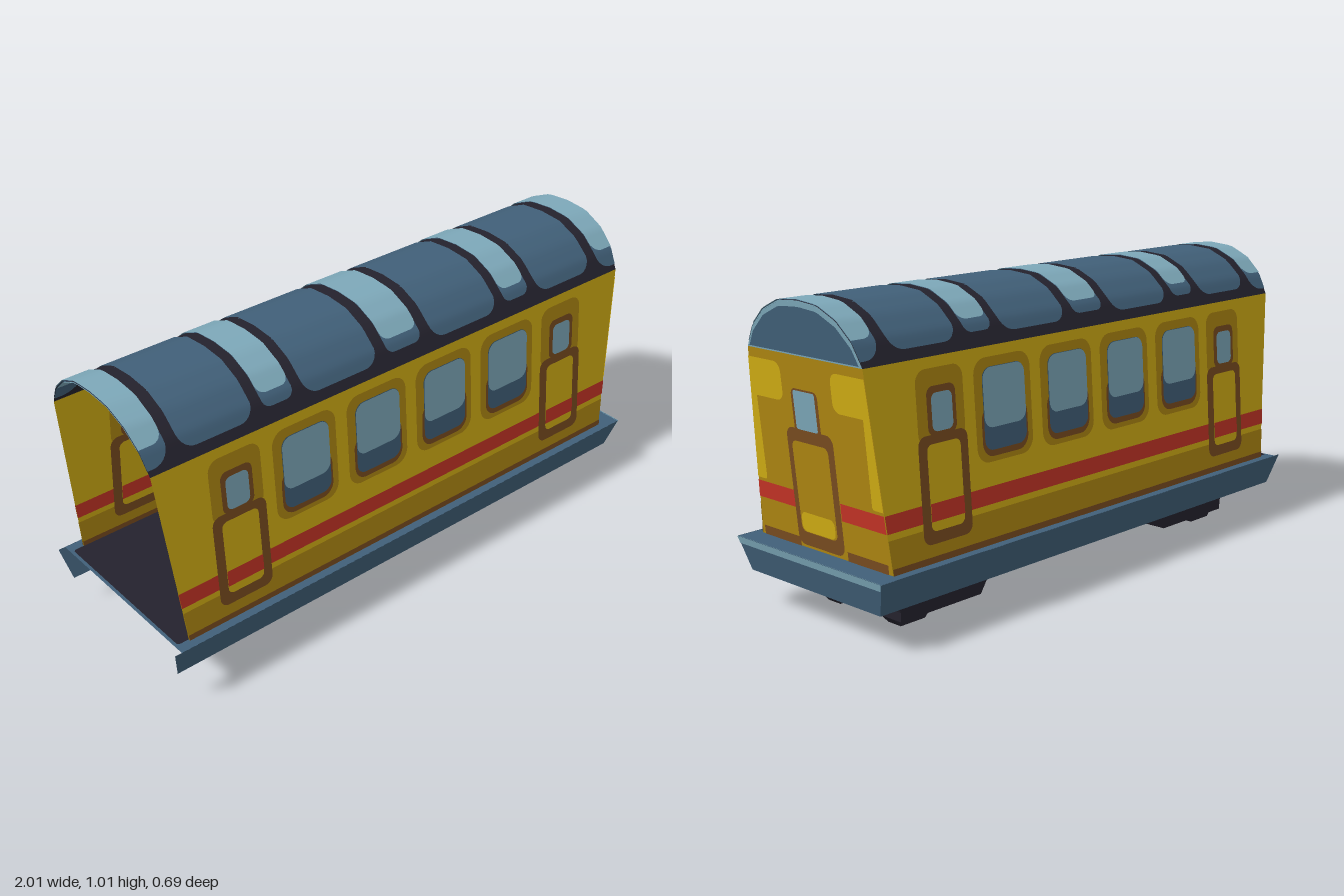
import * as THREE from 'three';
import { mergeGeometries } from 'three/addons/utils/BufferGeometryUtils.js';

const material = (name, color) => {
  const m = new THREE.MeshStandardMaterial({ color, side: THREE.DoubleSide });
  m.name = name;
  return m;
};

// Half outline of the carriage cross-section: [half width, height]
const PROFILE = [[0.305, 0.23], [0.263, 0.84], [0.225, 0.91], [0.165, 0.965], [0.087, 1.0], [0, 1.007]];
const clamp = THREE.MathUtils.clamp;
const halfWidth = (y) => {
  for (let i = 1; i < PROFILE.length; i++) {
    const [w0, y0] = PROFILE[i - 1], [w1, y1] = PROFILE[i];
    if (y <= y1) return w0 + (w1 - w0) * (y - y0) / (y1 - y0);
  }
  return 0;
};
// The ends lean outwards towards the roof
const endX = (y) => 0.925 + 0.075 * (y - 0.23) / 0.775;

// Roof arch, v = signed arc length from the crown
const ARCH = PROFILE.slice(1).reverse();
const archPoint = (s) => {
  for (let i = 1; i < ARCH.length; i++) {
    const [w0, y0] = ARCH[i - 1], [w1, y1] = ARCH[i];
    const len = Math.hypot(w1 - w0, y1 - y0);
    if (s <= len || i === ARCH.length - 1) {
      const t = Math.min(s / len, 1);
      return [w0 + (w1 - w0) * t, y0 + (y1 - y0) * t];
    }
    s -= len;
  }
};
const ARCH_LENGTH = ARCH.slice(1).reduce((sum, p, i) => sum + Math.hypot(p[0] - ARCH[i][0], p[1] - ARCH[i][1]), 0);

// Surfaces: (u, v, offset) => [x, y, z]
const wall = (side) => (u, v, o) => [clamp(u, -endX(v), endX(v)), v, side * (halfWidth(v) + o)];
const endWall = (u, v, o) => [endX(v) + o, v, clamp(u, -halfWidth(v), halfWidth(v))];
const capInset = (u, v, o) => {
  const w = halfWidth(Math.min(v + 0.018, 1.007));
  return [endX(v) + o, v, clamp(u, -w, w)];
};
const roofSurface = (u, v, o) => {
  const [w, y] = archPoint(Math.abs(v));
  const k = 1 + o / 0.25;
  return [clamp(u, -endX(y), endX(y)), 0.78 + (y - 0.78) * k, Math.sign(v) * w * k];
};
const flare = (y) => (y - 0.12) / 0.11;
const skirtSide = (side) => (u, v, o) => {
  const e = 0.975 + 0.025 * flare(v);
  return [clamp(u, -e, e), v, side * (0.303 + 0.035 * flare(v) + o)];
};
const skirtEnd = (u, v, o) => {
  const w = 0.303 + 0.035 * flare(v);
  return [0.975 + 0.025 * flare(v) + o, v, clamp(u, -w, w)];
};
const floorSurface = (u, v, o) => [u, 0.229 + o, v];

// Rounded panel laid on a surface; painted layers lie on both of its sides
function panel(parent, name, mat, surface, [u0, u1, v0, v1], r = 0, layer = 0) {
  const hu = (u1 - u0) / 2, hv = (v1 - v0) / 2, cu = (u0 + u1) / 2, cv = (v0 + v1) / 2;
  r = Math.min(r, hu, hv);
  const sheets = (layer ? [layer, -layer] : [0]).map((n) => {
    const g = new THREE.PlaneGeometry(2, 2, 4, 32);
    const p = g.attributes.position;
    for (let i = 0; i < p.count; i++) {
      const v = hv * Math.sin(p.getY(i) * Math.PI / 2);
      const d = Math.max(0, r - (hv - Math.abs(v)));
      const w = hu - r + Math.sqrt(Math.max(0, r * r - d * d));
      p.setXYZ(i, ...surface(cu + p.getX(i) * w, cv + v, n * 0.002));
    }
    g.computeVertexNormals();
    return g;
  });
  const mesh = new THREE.Mesh(mergeGeometries(sheets), mat);
  mesh.name = name;
  parent.add(mesh);
}

function extruded(parent, name, mat, points, z0, z1) {
  const shape = new THREE.Shape(points.map(([x, y]) => new THREE.Vector2(x, y)));
  const g = new THREE.ExtrudeGeometry(shape, { depth: z1 - z0, bevelEnabled: false });
  g.translate(0, 0, z0);
  const mesh = new THREE.Mesh(g, mat);
  mesh.name = name;
  parent.add(mesh);
}

export function createModel() {
  const yellow = material('yellow', 0xd2ae14);
  const ochre = material('ochre', 0xb08812);
  const brown = material('brown', 0x7a4d20);
  const red = material('red', 0xc63426);
  const glass = material('paleBlue', 0x7da8b9);
  const blue = material('slateBlue', 0x416079);
  const dark = material('charcoal', 0x24222d);

  const model = new THREE.Group();
  model.name = 'railwayCarriage';
  const group = (name) => {
    const g = new THREE.Group();
    g.name = name;
    model.add(g);
    return g;
  };

  // Long side walls with doors and windows
  for (const side of [1, -1]) {
    const g = group(side > 0 ? 'frontWall' : 'backWall');
    const s = wall(side);
    const add = (name, mat, box, r, layer) => panel(g, name, mat, s, box, r, layer);
    add('wallPanel', yellow, [-1.1, 1.1, 0.23, 0.84]);
    add('lowerBand', ochre, [-1.1, 1.1, 0.23, 0.335], 0, 1);
    add('sill', brown, [-1.1, 1.1, 0.23, 0.25], 0, 2);
    add('stripe', red, [-1.1, 1.1, 0.355, 0.41], 0, 1);
    for (const x of [-0.437, -0.145, 0.145, 0.437]) {
      add('windowSurround', ochre, [x - 0.123, x + 0.123, 0.485, 0.807], 0.05, 1);
      add('windowShade', brown, [x - 0.1, x + 0.1, 0.502, 0.66], 0.045, 2);
      add('windowLower', blue, [x - 0.092, x + 0.092, 0.522, 0.778], 0.035, 3);
      add('windowGlass', glass, [x - 0.091, x + 0.091, 0.592, 0.777], 0.035, 4);
    }
    for (const x of [-0.7, 0.7]) {
      add('doorTop', ochre, [x - 0.095, x + 0.095, 0.58, 0.807], 0.04, 1);
      add('doorFrame', brown, [x - 0.1, x + 0.1, 0.287, 0.612], 0.03, 2);
      add('doorPanel', yellow, [x - 0.068, x + 0.068, 0.325, 0.585], 0.02, 3);
      add('doorStripe', red, [x - 0.068, x + 0.068, 0.355, 0.41], 0, 4);
      add('doorWindowFrame', brown, [x - 0.058, x + 0.058, 0.608, 0.755], 0.025, 3);
      add('doorWindow', glass, [x - 0.042, x + 0.042, 0.62, 0.735], 0.02, 4);
    }
  }

  // Closed end, the opposite end stays open
  const end = group('endWall');
  const addEnd = (name, mat, box, r, layer) => panel(end, name, mat, endWall, box, r, layer);
  addEnd('endPanel', ochre, [-0.4, 0.4, 0.23, 0.84]);
  for (const k of [1, -1]) {
    const across = (a, b) => (k > 0 ? [a, b] : [-b, -a]);
    addEnd('upperPatch', yellow, [...across(0.115, 0.32), 0.69, 0.81], 0.03, 1);
    addEnd('edgePatch', yellow, [...across(0.245, 0.32), 0.42, 0.75], 0.01, 1);
    addEnd('lowerPatch', brown, [...across(0.11, 0.29), 0.23, 0.26], 0, 1);
    addEnd('endStripe', red, [...across(0.1, 0.4), 0.355, 0.41], 0, 1);
  }
  addEnd('endDoorFrame', brown, [-0.1, 0.115, 0.24, 0.615], 0.03, 2);
  addEnd('endDoorPanel', ochre, [-0.075, 0.092, 0.285, 0.575], 0.02, 3);
  addEnd('endDoorPatch', yellow, [-0.07, 0.085, 0.288, 0.35], 0.02, 4);
  addEnd('endWindowFrame', brown, [-0.052, 0.07, 0.595, 0.74], 0.02, 3);
  addEnd('endWindow', glass, [-0.041, 0.058, 0.615, 0.735], 0.008, 4);
  addEnd('roofCap', glass, [-0.4, 0.4, 0.84, 1.007]);
  panel(end, 'roofCapInset', blue, capInset, [-0.4, 0.4, 0.845, 0.988], 0, 1);

  // Arched roof with alternating wide panels and pale ribs
  const roof = group('roof');
  const L = ARCH_LENGTH;
  const addRoof = (name, mat, box, r, layer) => panel(roof, name, mat, roofSurface, box, r, layer);
  addRoof('roofShell', dark, [-1.1, 1.1, -L, L]);
  for (const [a, b] of [[0.6, 0.865], [0.115, 0.41]]) {
    for (const k of [1, -1]) {
      const box = k > 0 ? [a, b] : [-b, -a];
      addRoof('roofPanel', blue, [...box, -L + 0.035, L - 0.035], 0.055, 1);
    }
  }
  for (const x of [-0.505, 0, 0.505]) {
    const w = x ? 0.058 : 0.073;
    addRoof('roofRibBase', blue, [x - w, x + w, -L + 0.05, L - 0.05], 0.03, 1);
    addRoof('roofRib', glass, [x - w, x + w, -L + 0.095, L - 0.095], 0.03, 2);
  }
  for (const k of [1, -1]) {
    const span = (a) => (k > 0 ? [a, 1.1] : [-1.1, -a]);
    addRoof('roofEdgeBase', blue, [...span(0.905), -L + 0.02, L - 0.02], 0.06, 1);
    addRoof('roofEdge', glass, [...span(0.905), -L + 0.085, L - 0.085], 0.04, 2);
  }

  // Floor and flared skirt
  const base = group('base');
  panel(base, 'floorRim', blue, floorSurface, [-0.975, 1.0, -0.338, 0.338]);
  panel(base, 'floor', dark, floorSurface, [-0.965, 0.92, -0.302, 0.302], 0.01, 1);
  for (const side of [1, -1]) panel(base, 'sideSkirt', blue, skirtSide(side), [-1.1, 1.1, 0.12, 0.23]);
  panel(base, 'endSkirt', blue, skirtEnd, [-0.4, 0.4, 0.12, 0.23]);
  panel(base, 'endSkirtTrim', glass, skirtEnd, [-0.4, 0.4, 0.207, 0.23], 0, 1);

  // Bogies: a frame and a wheel block at each corner
  const frame = [[0.41, 0.225], [0.41, 0.12], [0.47, 0.03], [0.81, 0.03], [0.81, 0.06], [0.83, 0.12], [0.83, 0.225]];
  const wheel = [[0.65, 0.1], [0.65, 0.03], [0.68, 0], [0.78, 0], [0.81, 0.03], [0.81, 0.1]];
  for (const sx of [1, -1]) {
    for (const sz of [1, -1]) {
      const bogie = group('bogie');
      extruded(bogie, 'bogieFrame', dark, frame, 0.113, 0.205);
      extruded(bogie, 'wheelBlock', dark, wheel, 0.114, 0.17);
      bogie.scale.set(sx, 1, sz);
    }
  }

  model.rotation.y = -0.0075;
  return model;
}
